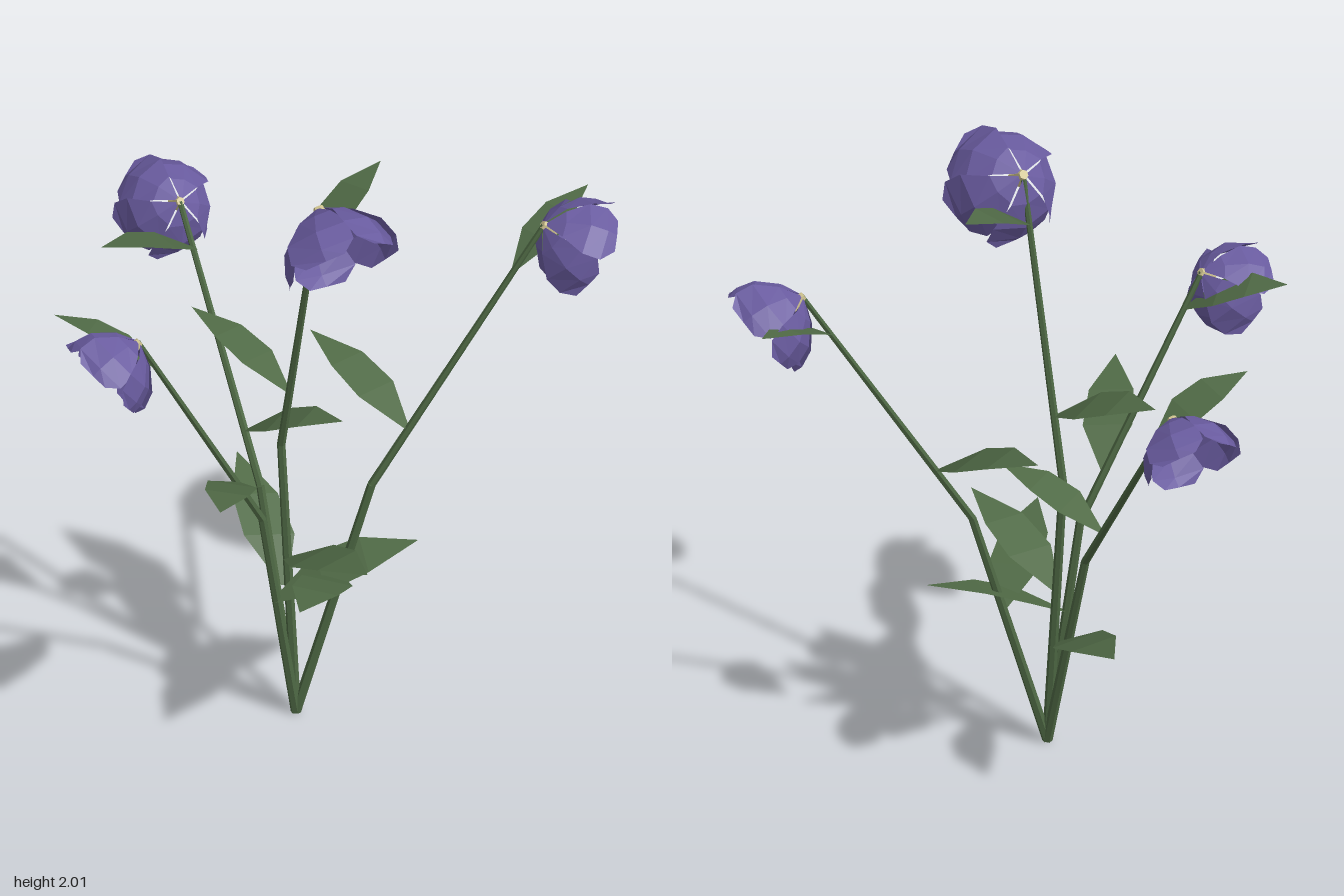
import * as THREE from 'three';

const V = (p) => new THREE.Vector3(...p);
const UP = new THREE.Vector3(0, 1, 0);

const mat = (name, color, extra = {}) => {
  const m = new THREE.MeshStandardMaterial({ color, flatShading: true, ...extra });
  m.name = name;
  return m;
};

// Surface through equal-length rows of points
function loft(rows) {
  const n = rows[0].length, pos = [], idx = [];
  rows.forEach((row) => row.forEach((p) => pos.push(p.x, p.y, p.z)));
  for (let i = 0; i < rows.length - 1; i++) {
    for (let j = 0; j < n - 1; j++) {
      const a = i * n + j, b = a + n;
      idx.push(a, a + 1, b, b, a + 1, b + 1);
    }
  }
  const g = new THREE.BufferGeometry();
  g.setAttribute('position', new THREE.Float32BufferAttribute(pos, 3));
  g.setIndex(idx);
  g.computeVertexNormals();
  return g;
}

// Arched leaf, rolled a little to one side: broad in the middle, pointed at the tip
function leafGeometry(base, tip, width, roll) {
  const dir = tip.clone().sub(base);
  const side = new THREE.Vector3().crossVectors(dir, UP).normalize();
  side.y = roll;
  const outline = [[0, 0.12], [0.32, 0.95], [0.62, 0.85], [1, 0]];
  return loft(outline.map(([t, w]) => {
    const mid = base.clone().addScaledVector(dir, t);
    mid.y += 0.13 * t * (1 - t);
    return [-1, 0, 1].map((s) => mid.clone().addScaledVector(side, s * w * width / 2));
  }));
}

// Petal wrapped round the bell's axis (+y): rows are [along axis, radius, half angle]
function petalGeometry(angle) {
  const rows = [[0, 0.014, 0.35], [0.035, 0.095, 0.6], [0.1, 0.165, 0.69], [0.165, 0.188, 0.62], [0.205, 0.188, 0.36]];
  return loft(rows.map(([h, r, half]) => [-1, 0, 1].map((s) => {
    const a = angle + s * half;
    const rr = r * (s === 0 ? 0.95 : 1 + 0.05 * s);
    return new THREE.Vector3(Math.sin(a) * rr, h, Math.cos(a) * rr);
  })));
}

export function createModel() {
  const stemGreen = mat('stem green', 0x4d6743);
  const leafGreen = mat('leaf green', 0x506a46, { side: THREE.DoubleSide });
  const violet = mat('petal violet', 0x695b9f, { side: THREE.DoubleSide });
  const yellow = mat('pale yellow', 0xd0c490);

  const root = new THREE.Group();
  root.name = 'flowerBunch';
  const add = (parent, name, geometry, material) => {
    const m = new THREE.Mesh(geometry, material);
    m.name = name;
    parent.add(m);
    return m;
  };

  function stemPiece(parent, a, b, r0, r1) {
    const d = b.clone().sub(a);
    const m = add(parent, 'stem', new THREE.CylinderGeometry(r1, r0, d.length(), 6), stemGreen);
    m.position.copy(a).addScaledVector(d, 0.5);
    m.quaternion.setFromUnitVectors(UP, d.normalize());
  }

  // Nodding bell, facing outward and down; local +z is its upper side
  function flower(parent, at, heading, size) {
    const g = new THREE.Group();
    g.name = 'flower';
    const out = new THREE.Vector3(Math.sin(heading), 0, Math.cos(heading));
    const tilt = 0.66;
    const axis = out.clone().multiplyScalar(Math.cos(tilt)).addScaledVector(UP, -Math.sin(tilt));
    const upper = out.clone().multiplyScalar(Math.sin(tilt)).addScaledVector(UP, Math.cos(tilt));
    const right = new THREE.Vector3().crossVectors(axis, upper);
    g.quaternion.setFromRotationMatrix(new THREE.Matrix4().makeBasis(right, axis, upper));
    g.position.copy(at);
    g.scale.setScalar(size);
    for (let i = 0; i < 5; i++) {
      add(g, 'petal', petalGeometry(Math.PI + i * Math.PI * 2 / 5), violet);
    }
    // Flower centre, widening into the bell
    const heart = add(g, 'flowerCentre', new THREE.CylinderGeometry(0.03, 0.016, 0.06, 6), yellow);
    heart.position.y = 0.022;
    parent.add(g);
  }

  // Each stalk: bend, tip, flower heading and size, leaves as [base, tip, width, roll]
  const foot = V([-0.13, 0, 0.26]);
  const stalks = [
    { name: 'frontStalk', bend: [-0.148, 0.94, 0.18], tip: [-0.1, 1.93, 0.38], heading: 0.13, size: 0.96,
      leaves: [
        [[-0.145, 0.54, 0.215], [-0.03, 0.715, 0.62], 0.17, -0.1],
        [[-0.14, 1.16, 0.22], [-0.335, 1.31, -0.1], 0.15, -0.2],
        [[-0.11, 1.77, 0.35], [0.17, 1.92, 0.19], 0.13, 0.12],
      ] },
    { name: 'leftStalk', bend: [0.1, 0.81, 0.3], tip: [0.635, 1.68, 0.36], heading: Math.PI / 2 - 0.13, size: 0.83,
      leaves: [
        [[0.005, 0.48, 0.283], [-0.25, 0.63, 0.62], 0.17, 0.05],
        [[0.21, 1.0, 0.31], [0.03, 1.17, -0.05], 0.16, -0.12],
        [[0.54, 1.53, 0.35], [0.84, 1.67, 0.19], 0.13, 0],
      ] },
    { name: 'rightStalk', bend: [-0.24, 0.74, 0.265], tip: [-0.65, 1.51, 0.29], heading: -Math.PI / 2 + 0.13, size: 0.79,
      leaves: [
        [[-0.2, 0.43, 0.265], [0.24, 0.59, 0.33], 0.17, -0.22],
        [[-0.32, 0.9, 0.27], [-0.51, 1.07, 0.63], 0.16, 0.08],
        [[-0.59, 1.4, 0.285], [-0.85, 1.53, 0.09], 0.13, -0.2],
      ] },
    { name: 'backStalk', bend: [-0.175, 0.72, 0.07], tip: [-0.255, 1.47, -0.42], heading: Math.PI + 0.1, size: 0.82,
      leaves: [
        [[-0.13, 0.4, 0.16], [-0.115, 0.59, -0.3], 0.17, -0.18],
        [[-0.19, 0.87, -0.02], [0.03, 1.02, 0.24], 0.15, 0],
        [[-0.235, 1.35, -0.33], [-0.57, 1.48, -0.26], 0.14, -0.12],
      ] },
  ];

  for (const s of stalks) {
    const g = new THREE.Group();
    g.name = s.name;
    const bend = V(s.bend), tip = V(s.tip);
    stemPiece(g, foot, bend, 0.016, 0.013);
    stemPiece(g, bend, tip, 0.013, 0.009);
    for (const [b, t, w, roll] of s.leaves) add(g, 'leaf', leafGeometry(V(b), V(t), w, roll), leafGreen);
    flower(g, tip, s.heading, s.size);
    root.add(g);
  }
  return root;
}
